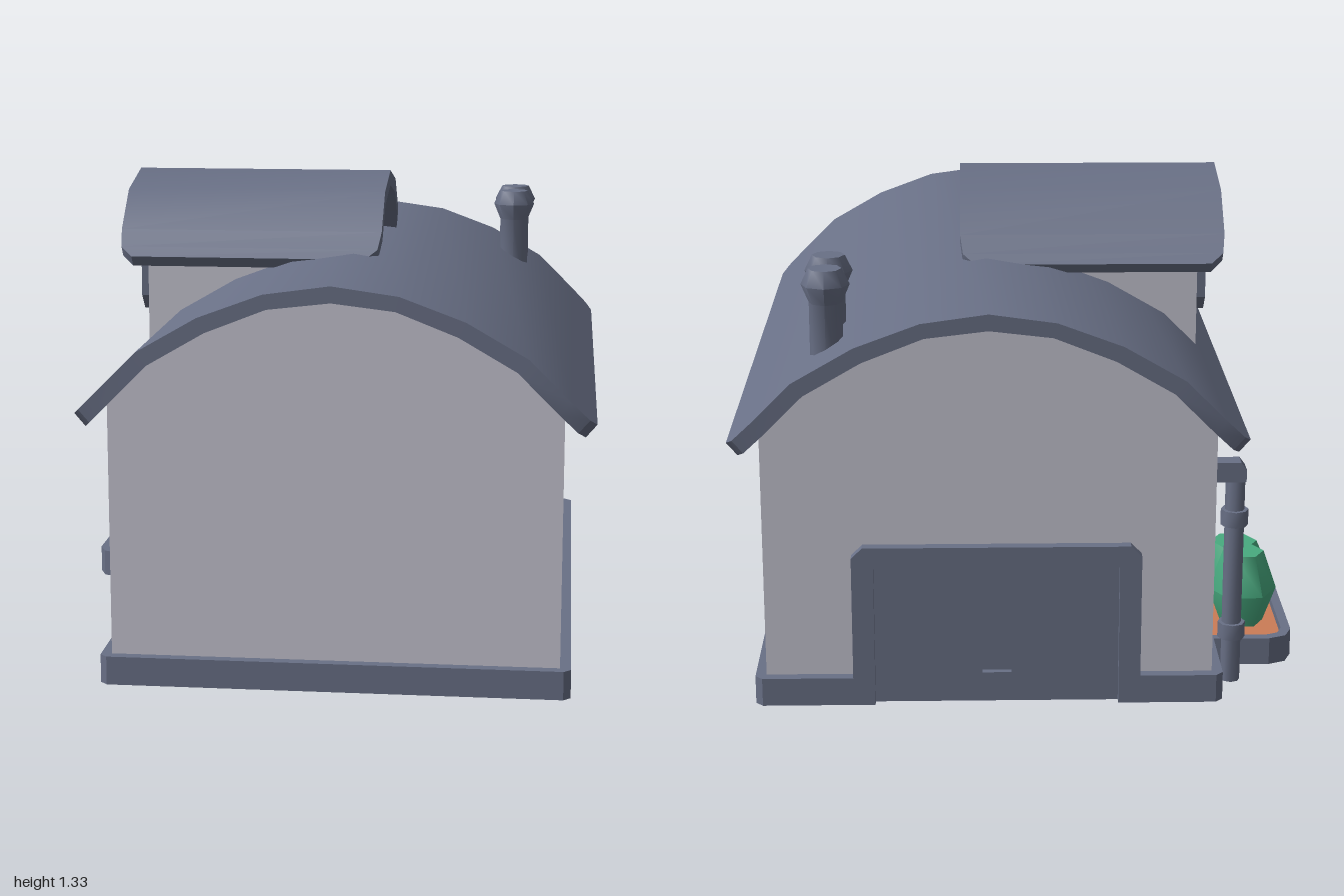
import * as THREE from 'three';
import { toCreasedNormals } from 'three/addons/utils/BufferGeometryUtils.js';

const mat = (name, color) => new THREE.MeshStandardMaterial({ name, color });

export function createModel() {
  const slate = mat('slate', 0x697086);
  const plaster = mat('plaster', 0xc6c5d1);
  const soil = mat('soil', 0xcb7c56);
  const leaf = mat('leaf', 0x48ab80);
  const model = new THREE.Group();
  model.name = 'barn';

  const add = (name, geometry, material, x = 0, y = 0, z = 0, parent = model) => {
    const mesh = new THREE.Mesh(geometry, material);
    mesh.name = name;
    mesh.position.set(x, y, z);
    parent.add(mesh);
    return mesh;
  };
  const box = (w, h, d) => new THREE.BoxGeometry(w, h, d);
  const shapeOf = pts => new THREE.Shape(pts.map(p => new THREE.Vector2(p[0], p[1])));
  const extrude = (shape, depth) => new THREE.ExtrudeGeometry(shape, { depth, bevelEnabled: false });
  // Rectangle with cut corners, counter-clockwise
  const cutRect = (x0, y0, x1, y1, c) => [
    [x0 + c, y0], [x1 - c, y0], [x1, y0 + c], [x1, y1 - c],
    [x1 - c, y1], [x0 + c, y1], [x0, y1 - c], [x0, y0 + c]];
  // Half profile [offset, y, halfLength] -> full profile, left to right
  const mirror = half => [...half.slice(1).reverse().map(([x, y, h]) => [-x, y, h]), ...half];

  // Curved roof sheet between two profiles; halfLength shrinks at the eaves to round the corners
  function roofSheet(innerHalf, outerHalf) {
    const inner = mirror(innerHalf), outer = mirror(outerHalf);
    const loop = [...inner, ...outer.slice().reverse()];
    const pos = [];
    const v = (p, s) => [p[0], p[1], s * p[2]];
    const quad = (a, b, c, d) => pos.push(...a, ...b, ...c, ...a, ...c, ...d);
    loop.forEach((p, i) => {
      const q = loop[(i + 1) % loop.length];
      quad(v(p, 1), v(p, -1), v(q, -1), v(q, 1));
    });
    for (let i = 0; i < inner.length - 1; i++) {
      const [a, b, c, d] = [inner[i], inner[i + 1], outer[i + 1], outer[i]];
      quad(v(a, 1), v(b, 1), v(c, 1), v(d, 1));
      quad(v(d, -1), v(c, -1), v(b, -1), v(a, -1));
    }
    const g = new THREE.BufferGeometry();
    g.setAttribute('position', new THREE.Float32BufferAttribute(pos, 3));
    return toCreasedNormals(g, 0.65);
  }

  // Main walls and barrel roof
  const cx = 0.085;
  const roofIn = [[0, 1.08, 1], [0.17, 1.06, 1], [0.335, 0.995, 1], [0.49, 0.905, 1],
    [0.6, 0.795, 1], [0.65, 0.745, 0.985], [0.67, 0.725, 0.94]];
  const roofOut = [[0, 1.125, 1], [0.18, 1.1, 1], [0.355, 1.035, 1], [0.52, 0.94, 1],
    [0.63, 0.83, 1], [0.68, 0.78, 0.985], [0.7, 0.76, 0.94]];
  const wallTop = mirror([...roofIn.slice(0, 4), [0.615, 0.78]]).reverse();
  add('walls', extrude(shapeOf([[-0.615, 0.02], [0.615, 0.02], ...wallTop]), 1.84), plaster, cx, 0, -0.92);
  add('roof', roofSheet(roofIn, roofOut), slate, cx);

  // Plinth, notched at both doors (plan drawn with y = -z)
  const plinth = shapeOf([
    [-0.54, -0.95], [0.71, -0.95], [0.73, -0.93], [0.73, 0.93], [0.71, 0.95],
    [0.4, 0.95], [0.4, 0.915], [-0.27, 0.915], [-0.27, 0.95],
    [-0.54, 0.95], [-0.56, 0.93], [-0.56, -0.5], [-0.525, -0.5], [-0.525, -0.71], [-0.56, -0.71], [-0.56, -0.93]]);
  add('plinth', extrude(plinth, 0.08).rotateX(-Math.PI / 2), slate);

  // Dormer facing -x
  const dormIn = [[0, 1.285, 0.383], [0.18, 1.245, 0.383], [0.285, 1.15, 0.383], [0.335, 1.105, 0.375], [0.365, 1.08, 0.34]];
  const dormOut = [[0, 1.33, 0.383], [0.195, 1.285, 0.383], [0.31, 1.18, 0.383], [0.36, 1.135, 0.375], [0.39, 1.11, 0.34]];
  const dormTop = mirror([...dormIn.slice(0, 3), [0.3, 1.137]]).reverse();
  add('dormerWalls', extrude(shapeOf([[-0.3, 0.78], [0.3, 0.78], ...dormTop]), 0.63).rotateY(-Math.PI / 2),
    plaster, 0.1);
  add('dormerRoof', roofSheet(dormIn, dormOut).rotateY(Math.PI / 2), slate, -0.2225);

  // Dormer window, built facing +z and turned to -x
  const win = new THREE.Group();
  win.name = 'dormerWindow';
  win.position.set(-0.53, 1.07, 0);
  win.rotation.y = -Math.PI / 2;
  model.add(win);
  const frame = shapeOf(cutRect(-0.25, -0.14, 0.25, 0.14, 0.045));
  frame.holes.push(new THREE.Path(cutRect(-0.19, -0.085, 0.19, 0.085, 0.015).reverse().map(p => new THREE.Vector2(...p))));
  add('windowFrame', extrude(frame, 0.03), slate, 0, 0, 0, win);
  add('windowPane', box(0.39, 0.18, 0.008), slate, 0, 0, 0.002, win);
  add('windowMullion', box(0.025, 0.17, 0.02), slate, 0, 0, 0.008, win);
  add('windowTransom', box(0.38, 0.02, 0.02), slate, 0, -0.02, 0.008, win);

  // Door with surround, built facing +z with its foot on y = 0
  function door(name, width, border, handle) {
    const g = new THREE.Group();
    g.name = name;
    model.add(g);
    const w = width / 2, i = w - border, c = 0.03, top = 0.46;
    const arch = shapeOf([[-w, 0.06], [-i, 0.06], [-i, top - border], [i, top - border], [i, 0.06],
      [w, 0.06], [w, top - c], [w - c, top], [c - w, top], [-w, top - c]]);
    add('doorSurround', extrude(arch, 0.03), slate, 0, 0, 0, g);
    add('doorPanel', box(2 * i, top - border, 0.012), slate, 0, (top - border) / 2, 0.002, g);
    add('doorHandle', box(handle[2], 0.025, 0.022), slate, handle[0], handle[1], 0.015, g);
    return g;
  }
  const garage = door('garageDoor', 0.79, 0.06, [0, 0.08, 0.08]);
  garage.position.set(0.065, 0, -0.92);
  garage.rotation.y = Math.PI;
  const side = door('sideDoor', 0.31, 0.05, [-0.07, 0.21, 0.05]);
  side.position.set(-0.53, 0, 0.605);
  side.rotation.y = -Math.PI / 2;

  // Downpipe with elbow and collars
  const pipe = new THREE.Group();
  pipe.name = 'downpipe';
  pipe.position.set(-0.588, 0, -0.86);
  model.add(pipe);
  const tube = (r, h) => toCreasedNormals(new THREE.CylinderGeometry(r, r, h, 8), 0.9);
  add('pipeShaft', tube(0.027, 0.62), slate, 0, 0.34, 0, pipe);
  const elbow = shapeOf([[-0.027, 0.62], [0.07, 0.62], [0.07, 0.675], [-0.012, 0.675], [-0.027, 0.655]]);
  add('pipeElbow', extrude(elbow, 0.054), slate, 0, 0, -0.027, pipe);
  for (const y of [0.512, 0.18]) add('pipeCollar', tube(0.038, 0.045), slate, 0, y, 0, pipe);

  // Planter against the -x wall (plan drawn with y = -z)
  const tray = (e, c) => [[-0.55, 0.09 + e], [-0.55, 0.7 - e], [-0.79 + e + c, 0.7 - e],
    [-0.79 + e + c * 0.3, 0.7 - e - c * 0.3], [-0.79 + e, 0.7 - e - c],
    [-0.79 + e, 0.09 + e + c], [-0.79 + e + c * 0.3, 0.09 + e + c * 0.3], [-0.79 + e + c, 0.09 + e]];
  const rim = shapeOf(tray(0, 0.07));
  rim.holes.push(new THREE.Path(tray(0.027, 0.05).map(([x, y]) => new THREE.Vector2(Math.min(x, -0.56), y)).reverse()));
  add('planterRim', extrude(rim, 0.08).rotateX(-Math.PI / 2), slate);
  add('planterFloor', extrude(shapeOf(tray(0.01, 0.06)), 0.02).rotateX(-Math.PI / 2), slate);
  add('planterSoil', extrude(shapeOf(tray(0.02, 0.05)), 0.04).rotateX(-Math.PI / 2), soil, 0, 0.018);

  // Shrubs and chimney pots: turned profiles
  const lathe = (pts, n, crease) => toCreasedNormals(
    new THREE.LatheGeometry(pts.map(p => new THREE.Vector2(...p)), n), crease);
  const shrub = (name, pts, z) =>
    add(name, lathe(pts, 6, 1.1).rotateY(Math.PI / 2), leaf, -0.662, 0, z);
  shrub('tallShrub', [[0, 0.05], [0.06, 0.05], [0.1, 0.16], [0.06, 0.275], [0, 0.275]], -0.507);
  shrub('roundShrub', [[0, 0.05], [0.065, 0.05], [0.11, 0.13], [0.07, 0.22], [0, 0.22]], -0.28);
  for (const z of [-0.647, -0.803]) {
    add('chimneyPot', lathe([[0, 0.9], [0.045, 0.9], [0.045, 1.11], [0.066, 1.16], [0.045, 1.203], [0, 1.203]], 8, 0.85),
      slate, 0.52, 0, z);
  }
  return model;
}
